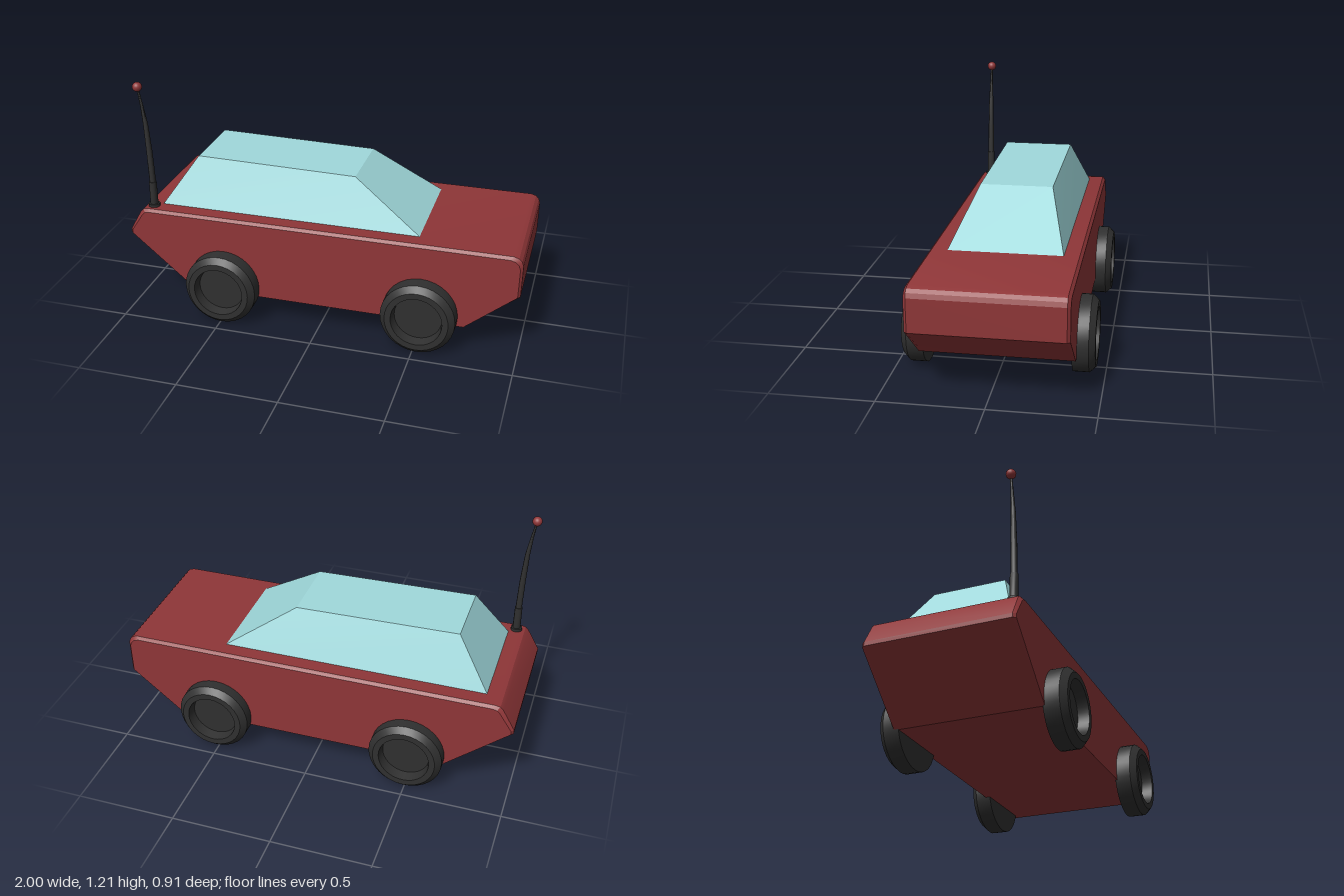
import * as THREE from 'three';
import { toCreasedNormals } from 'three/addons/utils/BufferGeometryUtils.js';

const paint = (name, color) => {
  const m = new THREE.MeshStandardMaterial({ color });
  m.name = name;
  return m;
};

// Solid from matching convex rings of [x, y, z] points, closed by a cap at each end.
// Rings run counter-clockwise when seen from the last ring's side.
function loft(rings, crease) {
  const n = rings[0].length, pos = rings.flat(2), idx = [];
  for (let r = 0; r < rings.length - 1; r++) {
    for (let i = 0; i < n; i++) {
      const a = r * n + i, b = r * n + (i + 1) % n;
      idx.push(a, b, b + n, a, b + n, a + n);
    }
  }
  const last = (rings.length - 1) * n;
  for (let i = 1; i < n - 1; i++) {
    idx.push(0, i + 1, i);
    idx.push(last, last + i, last + i + 1);
  }
  const g = new THREE.BufferGeometry();
  g.setAttribute('position', new THREE.Float32BufferAttribute(pos, 3));
  g.setIndex(idx);
  return toCreasedNormals(g, crease);
}

export function createModel() {
  const car = new THREE.Group();
  car.name = 'car';
  const red = paint('red paint', 0x8f3638);
  const glass = paint('pale blue glass', 0xa0d9dc);
  const black = paint('black rubber', 0x303030);

  const add = (name, geometry, material, parent = car) => {
    const mesh = new THREE.Mesh(geometry, material);
    mesh.name = name;
    parent.add(mesh);
    return mesh;
  };

  // Body: side profile, with the upper edges bevelled towards the flanks
  const profile = [
    [-0.67, 0.14], [0.735, 0.14], [0.995, 0.345], [0.998, 0.51], [0.99, 0.532], [0.975, 0.547],
    [0.95, 0.555], [-0.9, 0.555], [-0.925, 0.55], [-0.94, 0.535], [-1, 0.43], [-1, 0.41],
  ];
  const inner = profile.map(([x, y]) => {
    if (y < 0.4) return [x > 0.9 ? x - 0.012 : x, y];
    return [x - Math.sign(x) * 0.012, y > 0.5 ? y - 0.014 : y];
  });
  const at = (points, z) => points.map(([x, y]) => [x, y, z]);
  add('body', loft([at(inner, -0.374), at(profile, -0.36), at(profile, 0.345), at(inner, 0.359)], 0.35), red);

  // Cabin: tapered glasshouse with a slightly sloping roof
  const cabinBase = [[-0.85, 0.55, 0.272], [0.495, 0.55, 0.272], [0.495, 0.55, -0.288], [-0.85, 0.55, -0.288]];
  const cabinRoof = [[-0.68, 0.8, 0.172], [0.14, 0.786, 0.172], [0.14, 0.786, -0.19], [-0.68, 0.8, -0.19]];
  add('cabin', loft([cabinBase, cabinRoof], 0.1), glass);

  // Wheels: turned tyre with bevelled shoulder and recessed hub
  const tyre = [
    [0, 0], [0.185, 0], [0.185, 0.078], [0.157, 0.107],
    [0.127, 0.107], [0.118, 0.055], [0, 0.055],
  ].map(([r, h]) => new THREE.Vector2(r, h));
  const wheelGeometry = toCreasedNormals(new THREE.LatheGeometry(tyre, 32), 0.4);
  for (const [end, x] of [['rear', -0.495], ['front', 0.52]]) {
    for (const side of [1, -1]) {
      const wheel = add(end + (side > 0 ? 'RightWheel' : 'LeftWheel'), wheelGeometry, black);
      wheel.position.set(x, 0.19, side * 0.35);
      wheel.rotation.x = side * Math.PI / 2;
    }
  }

  // Antenna: stepped socket and a mast that tapers and leans, given as [x, y, radius]
  const antenna = new THREE.Group();
  antenna.name = 'antenna';
  antenna.position.z = 0.302;
  car.add(antenna);
  const mast = [
    [-0.882, 0.545, 0.029], [-0.882, 0.57, 0.029], [-0.882, 0.57, 0.02], [-0.882, 0.69, 0.019],
    [-0.882, 0.69, 0.016], [-0.887, 0.85, 0.015], [-0.896, 1.0, 0.012], [-0.908, 1.09, 0.008], [-0.923, 1.18, 0.005],
  ];
  const sides = 12;
  const rings = mast.map(([x, y, r]) => Array.from({ length: sides }, (_, i) => {
    const a = i / sides * Math.PI * 2;
    return [x + r * Math.cos(a), y, -r * Math.sin(a)];
  }));
  add('mast', loft(rings, 0.6), black, antenna);
  add('antennaBall', new THREE.SphereGeometry(0.024, 20, 14), red, antenna).position.set(-0.925, 1.19, 0);

  return car;
}
